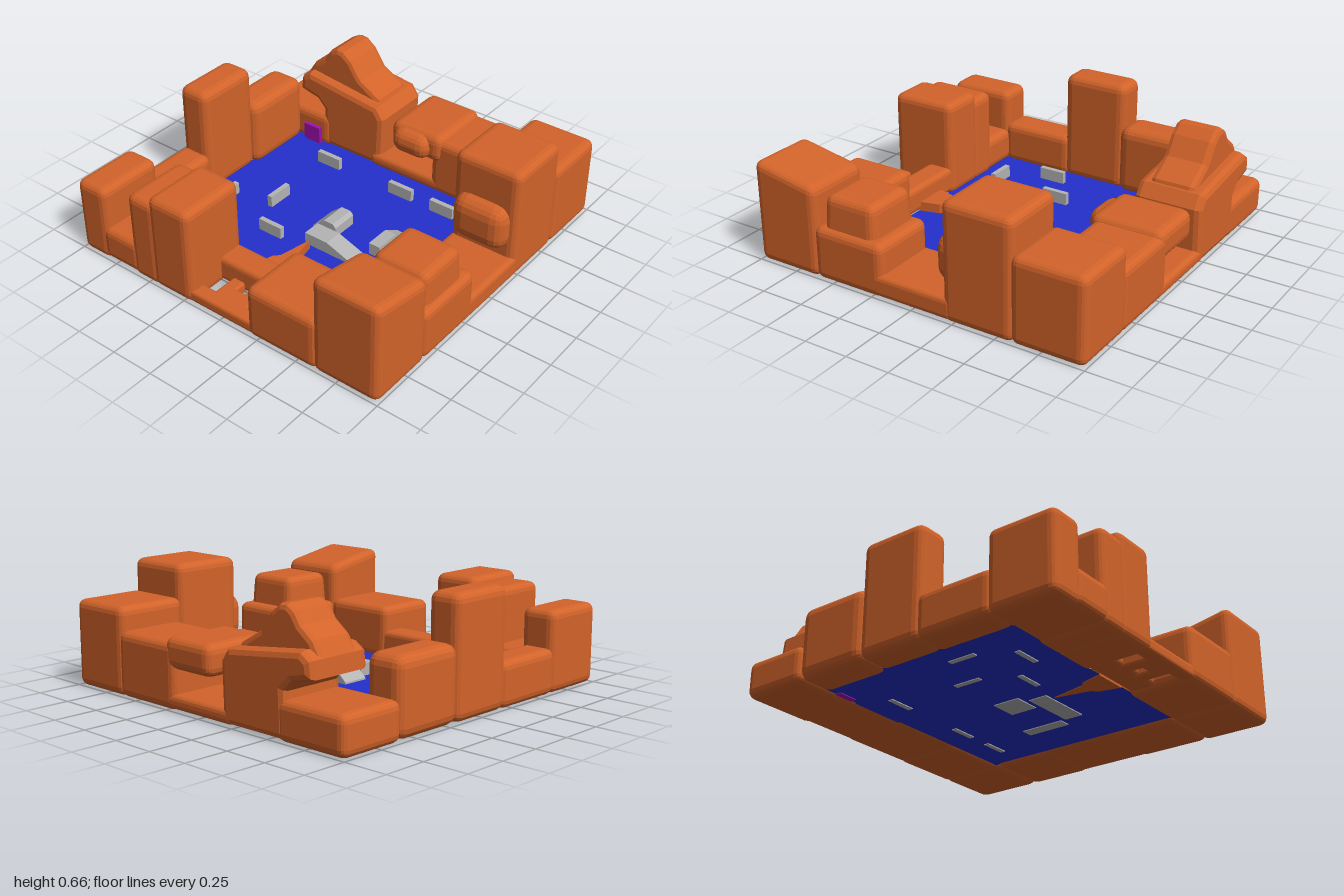
import * as THREE from 'three';
import { RoundedBoxGeometry } from 'three/addons/geometries/RoundedBoxGeometry.js';

const mat = (color) => new THREE.MeshStandardMaterial({ color, flatShading: true, side: THREE.DoubleSide });

export function createModel() {
  const group = new THREE.Group();
  const rockMat = mat(0xd2632a), floorMat = mat(0x2530cc), greyMat = mat(0xb4b4b4), goalMat = mat(0xa010b0);

  const add = (name, geometry, material) => {
    const mesh = new THREE.Mesh(geometry, material);
    mesh.name = name;
    group.add(mesh);
    return mesh;
  };

  // Chamfered rock between two corners; the top may narrow or tilt along z
  const rock = (name, [x0, x1], [y0, y1], [z0, z1], { r = 0.045, taper = 1, tilt = 0 } = {}) => {
    const w = x1 - x0, h = y1 - y0, d = z1 - z0;
    const g = new RoundedBoxGeometry(w, h, d, 2, Math.min(r, w / 2.2, h / 2.2, d / 2.2));
    const p = g.attributes.position;
    for (let i = 0; i < p.count; i++) {
      if (p.getY(i) <= 0) continue;
      const z = p.getZ(i);
      p.setXYZ(i, p.getX(i) * taper, p.getY(i) + tilt * z, z * taper);
    }
    g.translate((x0 + x1) / 2, (y0 + y1) / 2, (z0 + z1) / 2);
    g.computeVertexNormals();
    return add(name, g, rockMat);
  };

  // Outline in x and y, swept along z with a chamfered rim
  const slab = (name, pts, z0, z1, bevel, material) => {
    const g = new THREE.ExtrudeGeometry(new THREE.Shape(pts.map((p) => new THREE.Vector2(...p))), {
      depth: z1 - z0 - 2 * bevel, bevelEnabled: bevel > 0, bevelThickness: bevel, bevelSize: bevel,
      bevelOffset: -bevel, bevelSegments: 2, curveSegments: 1,
    });
    g.translate(0, 0, z0 + bevel);
    return add(name, g, material);
  };

  // Arena floor
  const floor = new THREE.PlaneGeometry(1.44, 1.24).rotateX(-Math.PI / 2).translate(-0.1, 0.02, 0);
  add('floor', floor, floorMat);

  // Front wall
  const front = [0.6, 1];
  rock('frontRightCorner', [-1, -0.79], [0, 0.45], front);
  rock('frontNotch', [-0.84, -0.56], [0.01, 0.21], front);
  rock('frontShoulder', [-0.62, -0.42], [0, 0.52], front);
  rock('frontBlock', [-0.47, -0.19], [0, 0.565], front);
  rock('frontBridge', [-0.24, 0.24], [0.02, 0.17], [0.61, 0.77], { r: 0.03 });
  rock('frontSill', [-0.24, 0.24], [0.01, 0.08], [0.9, 0.99], { r: 0.02 });
  for (const s of [-1, 1])
    rock('frontSillTie', s < 0 ? [-0.11, -0.03] : [0.03, 0.11], [0.015, 0.08], [0.72, 0.93], { r: 0.015 });
  rock('frontSillStep', [-0.08, 0.08], [0.015, 0.08], [0.83, 0.95], { r: 0.015 });
  rock('frontLowBlock', [0.18, 0.63], [0, 0.31], front);
  rock('frontLeftCorner', [0.6, 1], [0, 0.545], front, { tilt: 0.18 });

  // Left side wall
  rock('leftBlockBase', [0.6, 1], [0, 0.3], [0.18, 0.62]);
  rock('leftBlockTop', [0.62, 0.97], [0.18, 0.475], [0.24, 0.58], { r: 0.05, taper: 0.93 });
  rock('leftGap', [0.6, 1], [0.01, 0.135], [-0.25, 0.25], { r: 0.03 });
  rock('leftTower', [0.6, 1], [0, 0.66], [-0.6, -0.19]);
  rock('leftTowerBulge', [0.63, 0.96], [0.18, 0.44], [-0.3, -0.11], { r: 0.08 });

  // Back wall
  const back = [-1, -0.6];
  rock('backLeftCorner', [0.6, 1], [0, 0.48], [-1, -0.58]);
  rock('backBlock', [0.18, 0.64], [0, 0.355], back);
  rock('backOverhang', [-0.09, 0.26], [0.215, 0.385], [-1, -0.58], { r: 0.05 });
  rock('backOverhangLip', [-0.06, 0.19], [0.22, 0.37], [-0.72, -0.525], { r: 0.07 });
  rock('backGap', [-0.25, 0.25], [0.01, 0.09], back, { r: 0.03 });
  rock('backRightCorner', [-1, -0.55], [0, 0.21], back);

  // Peak with an overhanging shelf
  slab('peakBase', [[-0.62, 0.01], [-0.18, 0.01], [-0.17, 0.33], [-0.22, 0.4], [-0.72, 0.46],
    [-0.78, 0.42], [-0.79, 0.33], [-0.66, 0.3], [-0.61, 0.25]], -1, -0.61, 0.035, rockMat);
  slab('peak', [[-0.2, 0.3], [-0.24, 0.42], [-0.38, 0.5], [-0.45, 0.6], [-0.51, 0.645], [-0.56, 0.65],
    [-0.61, 0.62], [-0.65, 0.56], [-0.73, 0.5], [-0.78, 0.42], [-0.76, 0.34]], -0.93, -0.67, 0.03, rockMat);

  // Right side wall
  rock('rightShelf', [-1, -0.77], [0, 0.41], [-0.62, -0.18], { r: 0.06 });
  rock('rightPillar', [-1, -0.8], [0, 0.65], [-0.2, 0.2], { r: 0.05 });
  rock('rightLowBlock', [-1, -0.8], [0, 0.25], [0.17, 0.63]);

  // Pointed rock running onto the floor
  const spike = slab('floorSpike', [[-0.1, -0.62], [0.1, -0.62], [0.07, -0.5], [0.04, -0.47], [0, -0.27],
    [-0.04, -0.47], [-0.07, -0.5]], 0, 0.06, 0, rockMat);
  spike.geometry.rotateX(-Math.PI / 2).translate(0, 0.015, 0);

  // Low barriers: centre x, centre z, width, depth
  const barriers = [
    [-0.42, -0.435, 0.16, 0.03], [0.1, -0.435, 0.16, 0.03], [0.385, -0.435, 0.155, 0.03],
    [-0.425, 0.03, 0.03, 0.16], [-0.667, 0.195, 0.03, 0.16], [-0.255, 0.293, 0.155, 0.03],
    [-0.495, 0.458, 0.155, 0.03],
  ];
  for (const [x, z, w, d] of barriers)
    add('barrier', new THREE.BoxGeometry(w, 0.075, d).translate(x, 0.0525, z), greyMat);

  // Ramps
  slab('centreRamp', [[-0.11, 0.015], [0.05, 0.015], [0.05, 0.08], [0.03, 0.1], [-0.03, 0.1], [-0.11, 0.03]],
    -0.05, 0.11, 0, greyMat);
  slab('longRamp', [[-0.05, 0.015], [0.28, 0.015], [0.28, 0.025], [0.1, 0.09], [-0.05, 0.09]],
    0.14, 0.25, 0, greyMat);
  const sideRamp = slab('sideRamp', [[-0.11, 0.015], [0.15, 0.015], [0.15, 0.025], [0.04, 0.09], [-0.11, 0.09]],
    0.28, 0.35, 0, greyMat);
  sideRamp.geometry.rotateY(Math.PI / 2);

  // Goal block
  add('goalBlock', new THREE.BoxGeometry(0.115, 0.11, 0.06).translate(-0.672, 0.07, -0.605), goalMat);

  return group;
}
